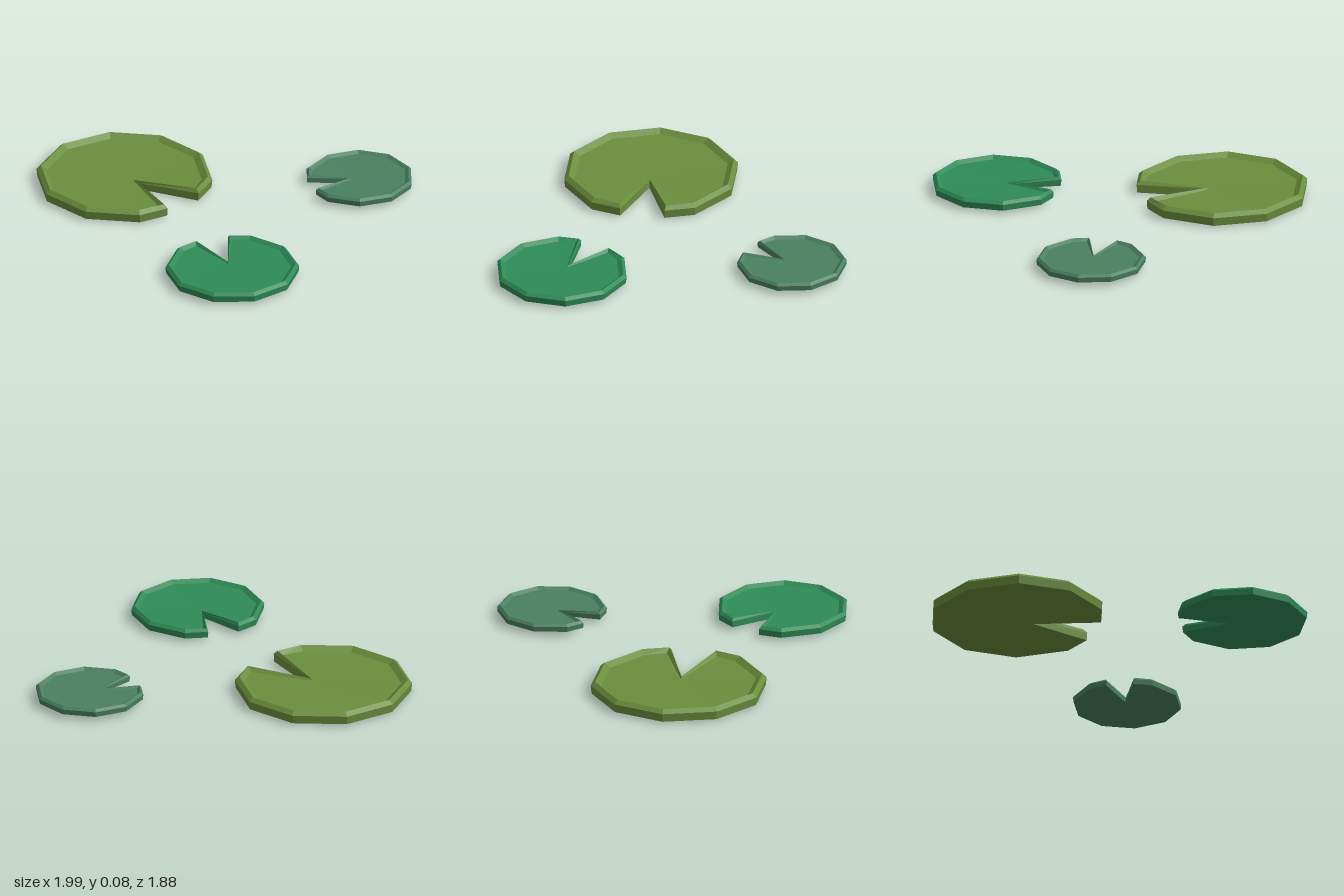
import * as THREE from 'three';

// Cross-section rings of a unit pad whose notch opens toward +x:
// r = radius, y = height, lip = corner beside the notch, tip = [x, y] of the notch point
const RINGS = [
  { r: 0.99, y: -0.075, lip: [0.91, 0.25], tip: [0.19, -0.094] }, // underside edge
  { r: 1.0, y: 0.02, lip: [0.917, 0.25], tip: [0.19, -0.02] },    // widest edge
  { r: 0.95, y: 0.063, lip: [0.875, 0.265], tip: [0.175, 0.01] }, // rim crest
  { r: 0.88, y: 0.015, lip: [0.815, 0.285], tip: [0.14, -0.01] }, // floor edge
];

// Loop of points: tip, lip, nine decagon corners, other lip
function ringPoints({ r, y, lip, tip }) {
  const points = [[tip[0], tip[1], 0], [lip[0], y, lip[1]]];
  for (let i = 1; i <= 9; i++) {
    const a = (i * Math.PI) / 5;
    points.push([r * Math.cos(a), y, r * Math.sin(a)]);
  }
  points.push([lip[0], y, -lip[1]]);
  return points;
}

function padGeometry() {
  const loops = RINGS.map(ringPoints);
  const n = loops[0].length;
  const positions = loops.flat(2);
  const index = [];
  // Wall, bevel and inner slope
  for (let k = 0; k < loops.length - 1; k++) {
    for (let i = 0; i < n; i++) {
      const a0 = k * n + i, a1 = k * n + ((i + 1) % n);
      index.push(a0, a0 + n, a1, a1, a0 + n, a1 + n);
    }
  }
  // Underside and floor, fanned from the notch tip
  const top = (loops.length - 1) * n;
  for (let i = 1; i < n - 1; i++) {
    index.push(0, i, i + 1);
    index.push(top, top + i + 1, top + i);
  }
  const indexed = new THREE.BufferGeometry();
  indexed.setAttribute('position', new THREE.Float32BufferAttribute(positions, 3));
  indexed.setIndex(index);
  const geometry = indexed.toNonIndexed();
  geometry.computeVertexNormals();
  return geometry;
}

export function createModel() {
  const group = new THREE.Group();
  group.name = 'lilyPads';
  const geometry = padGeometry();
  // Each pad: position, radius and the direction of its notch in degrees
  const pads = [
    { name: 'largeLilyPad', x: -0.52, z: 0.22, size: 0.48, notch: 0, color: 0x6b8e3d },
    { name: 'mediumLilyPad', x: 0.635, z: 0.578, size: 0.362, notch: 206.7, color: 0x2e8b57 },
    { name: 'smallLilyPad', x: 0.405, z: -0.648, size: 0.297, notch: 117.2, color: 0x4a8060 },
  ];
  for (const { name, x, z, size, notch, color } of pads) {
    const pad = new THREE.Mesh(geometry, new THREE.MeshStandardMaterial({ color, flatShading: true }));
    pad.name = name;
    pad.position.set(x, 0.045, z);
    pad.rotation.y = -THREE.MathUtils.degToRad(notch);
    pad.scale.setScalar(size);
    group.add(pad);
  }
  return group;
}
